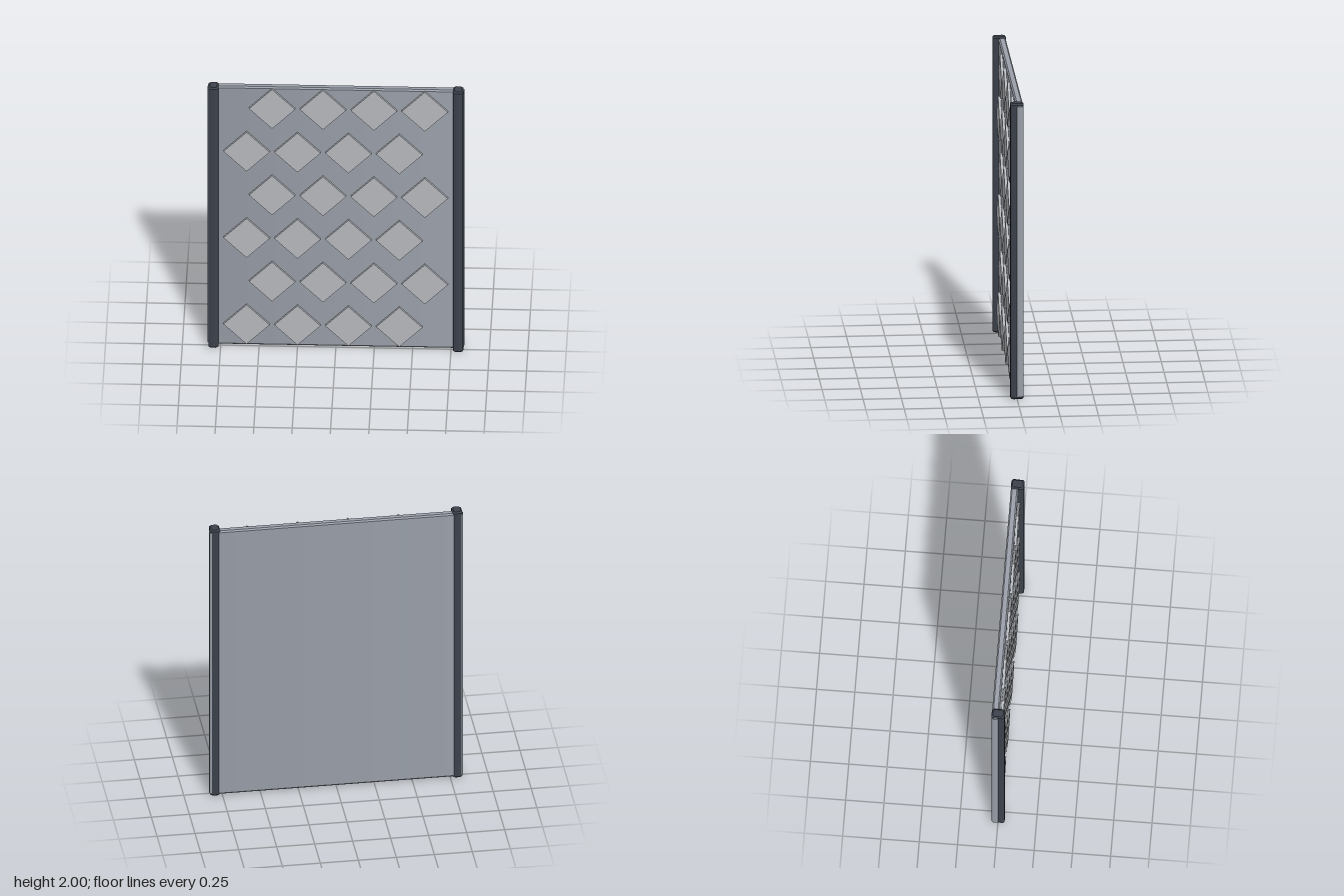
import * as THREE from 'three';
import { mergeGeometries } from 'three/addons/utils/BufferGeometryUtils.js';

// Eight-sided section stretched to a chamfered rectangle; the long faces keep round-blended normals
function section(width, depth, bevel, y0, y1, inset0, inset1, open) {
  const geo = new THREE.CylinderGeometry(1, 1, y1 - y0, 8, 1, open, Math.PI / 8);
  const pos = geo.attributes.position;
  for (let i = 0; i < pos.count; i++) {
    const x = pos.getX(i), y = pos.getY(i), z = pos.getZ(i);
    const top = y > 0;
    if (Math.hypot(x, z) > 0.5) {
      const inset = top ? inset1 : inset0;
      const side = Math.abs(x) > Math.abs(z);
      pos.setX(i, Math.sign(x) * (width / 2 - inset - (side ? 0 : bevel)));
      pos.setZ(i, Math.sign(z) * (depth / 2 - inset - (side ? bevel : 0)));
    }
    pos.setY(i, top ? y1 : y0);
  }
  return geo.toNonIndexed();
}

// Upright bar with chamfered long edges and chamfered ends
function chamferedBar(width, depth, y0, y1, bevel) {
  const body = section(width, depth, bevel, y0 + bevel, y1 - bevel, 0, 0, true);
  const inset = bevel * 0.9;
  const foot = section(width, depth, bevel, y0, y0 + bevel, inset, 0, false);
  const head = section(width, depth, bevel, y1 - bevel, y1, 0, inset, false);
  foot.computeVertexNormals();
  head.computeVertexNormals();
  return mergeGeometries([body, foot, head]);
}

export function createModel() {
  const group = new THREE.Group();
  const add = (name, geo, mat, x = 0, y = 0, z = 0) => {
    const mesh = new THREE.Mesh(geo, mat);
    mesh.name = name;
    mesh.position.set(x, y, z);
    group.add(mesh);
    return mesh;
  };
  const panelMat = new THREE.MeshStandardMaterial({ color: 0x9aa0aa });
  const tileMat = new THREE.MeshStandardMaterial({ color: 0xb4b7bc });
  const railMat = new THREE.MeshStandardMaterial({ color: 0x3c424c });

  // Main sheet, its edges just showing outside the rails
  add('panel', chamferedBar(1.67, 0.048, 0.01, 1.99, 0.01), panelMat, 0, 0, -0.018);

  // Side rails
  const railGeo = chamferedBar(0.066, 0.086, 0, 2, 0.01);
  add('leftRail', railGeo, railMat, 0.797);
  add('rightRail', railGeo, railMat, -0.797);

  // Raised diamonds in staggered rows on the front
  const tileGeo = new THREE.BoxGeometry(0.213, 0.213, 0.02);
  tileGeo.rotateZ(Math.PI / 4);
  const pitch = 0.3315;
  for (let row = 0; row < 6; row++) {
    for (let col = 0; col < 4; col++) {
      const x = (row % 2 ? -0.415 : -0.581) + col * pitch;
      add('diamond', tileGeo, tileMat, x, 0.176 + row * pitch, 0.013);
    }
  }
  return group;
}
